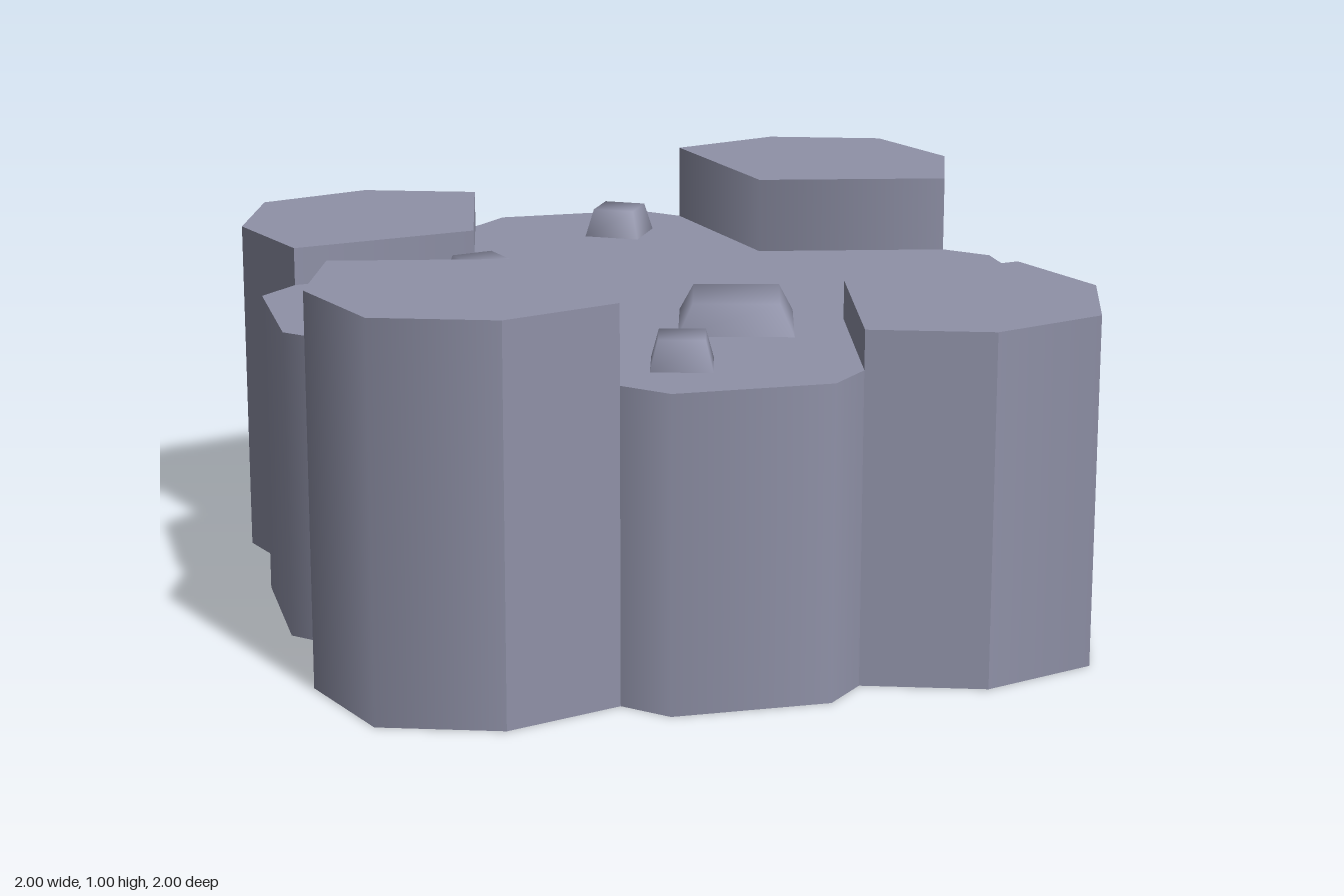
import * as THREE from 'three';
import { mergeGeometries } from 'three/addons/utils/BufferGeometryUtils.js';

const material = new THREE.MeshStandardMaterial({ color: 0x8f91a7 });

function addMesh(parent, name, geometry) {
  const mesh = new THREE.Mesh(geometry, material);
  mesh.name = name;
  parent.add(mesh);
  return mesh;
}

// Quarter turns of an [x, z] point about the y axis
function turn([x, z], k) {
  for (let i = 0; i < k; i++) [x, z] = [z, -x];
  return [x, z];
}

// Upright wall through [x, z] points, smooth inside the run, facing outward
function wall(points, height) {
  const n = points.length;
  const geometry = new THREE.PlaneGeometry(1, 1, n - 1, 1);
  const { position, normal } = geometry.attributes;
  const faces = points.slice(1).map(([x, z], i) =>
    new THREE.Vector3(points[i][1] - z, 0, x - points[i][0]).normalize());
  for (let i = 0; i < 2 * n; i++) {
    const j = i % n;
    const [x, z] = points[j];
    position.setXYZ(i, x, i < n ? height : 0, z);
    const before = faces[Math.max(j - 1, 0)], after = faces[Math.min(j, n - 2)];
    const average = before.clone().add(after).normalize();
    normal.setXYZ(i, average.x, 0, average.z);
  }
  return geometry;
}

// Flat polygon through [x, z] points, facing up or down
function cap(points, y, up) {
  const s = up ? -1 : 1;
  const shape = new THREE.Shape(points.map(([x, z]) => new THREE.Vector2(x, s * z)));
  return new THREE.ShapeGeometry(shape).rotateX(s * Math.PI / 2).translate(0, y, 0);
}

// Prism whose side is split into separately smoothed runs
function prism(runs, outline, height) {
  return mergeGeometries([
    ...runs.map((run) => wall(run, height)),
    cap(outline, height, true),
    cap(outline, 0, false),
  ]);
}

// Square stone with a narrower top, shaded as one soft dome
function stone(size) {
  const height = 0.075, taper = 0.75;
  const slope = size * (1 - taper) / 2 / height;
  const geometry = new THREE.BoxGeometry(size, height, size).translate(0, height / 2, 0);
  const { position, normal } = geometry.attributes;
  const n = new THREE.Vector3();
  for (let i = 0; i < position.count; i++) {
    const x = position.getX(i), y = position.getY(i), z = position.getZ(i);
    const top = y > height / 2;
    n.set(Math.sign(x), 2 * slope + (top ? Math.hypot(1, slope) : 0), Math.sign(z)).normalize();
    normal.setXYZ(i, n.x, n.y, n.z);
    if (top) position.setXYZ(i, x * taper, y, z * taper);
  }
  return geometry;
}

export function createModel() {
  const model = new THREE.Group();
  model.name = 'rockBlock';
  const turns = [0, 1, 2, 3];

  // Cross-shaped lower body
  const side = [[-0.3, 0.9], [-0.2, 1], [0.2, 1], [0.3, 0.9]];
  const runs = turns.map((k) => side.map((p) => turn(p, k)));
  const outline = turns.flatMap((k) => [...side, [0.4, 0.4]].map((p) => turn(p, k)));
  addMesh(model, 'body', prism(runs, outline, 0.8));

  // Corner columns, alternating in height
  const corner = [[0.3, 0.9], [0.6, 1], [0.9, 0.9], [1, 0.6], [0.9, 0.3], [0.4, 0.4]];
  const [a, b, c, d, e, f] = corner;
  const cornerRuns = [[a, b], [b, c, d], [d, e], [e, f, a]];
  const names = ['frontLeftColumn', 'backLeftColumn', 'backRightColumn', 'frontRightColumn'];
  turns.forEach((k) => {
    const column = addMesh(model, names[k], prism(cornerRuns, corner, k % 2 ? 1 : 0.9));
    column.rotation.y = k * Math.PI / 2;
  });

  // Loose stones on the body: x, z, size, turn in degrees
  const stones = [
    [0.125, 0.375, 0.29, -15],
    [-0.11, 0.745, 0.152, -15],
    [-0.42, -0.185, 0.152, 15],
    [-0.69, -0.03, 0.152, 30],
    [0.08, -0.725, 0.152, -30],
  ];
  stones.forEach(([x, z, size, angle], i) => {
    const mesh = addMesh(model, i ? 'smallStone' : 'largeStone', stone(size));
    mesh.position.set(x, 0.8, z);
    mesh.rotation.y = THREE.MathUtils.degToRad(angle);
  });

  return model;
}
